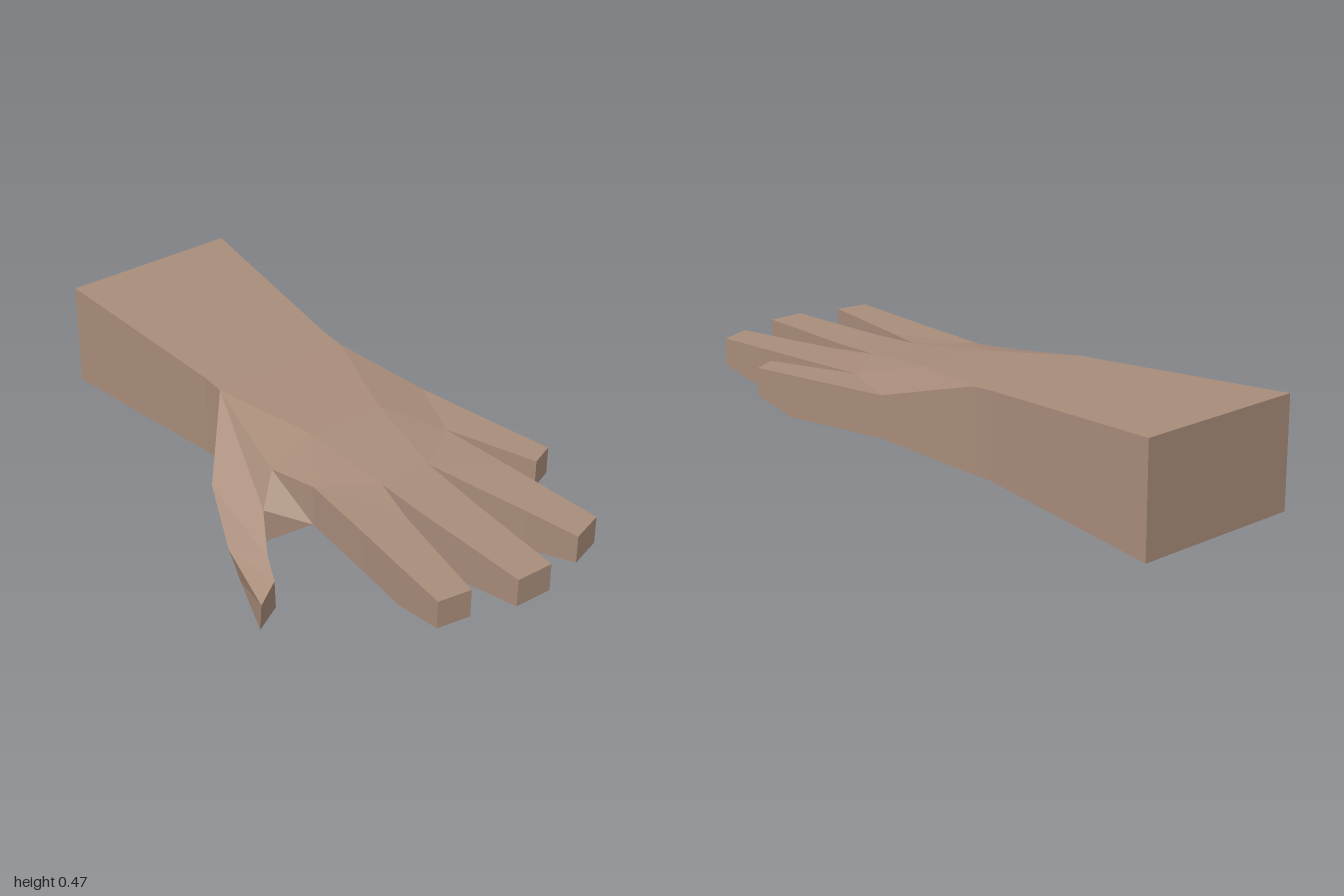
import * as THREE from 'three';

const skin = new THREE.MeshStandardMaterial({ color: 0xa88c7a, flatShading: true });

// Flat-shaded mesh from convex polygons, each a list of [x, y, z] corners
function polyMesh(name, polys) {
  const pos = [];
  for (const p of polys) {
    for (let i = 1; i < p.length - 1; i++) pos.push(...p[0], ...p[i], ...p[i + 1]);
  }
  const geo = new THREE.BufferGeometry();
  geo.setAttribute('position', new THREE.Float32BufferAttribute(pos, 3));
  geo.computeVertexNormals();
  const mesh = new THREE.Mesh(geo, skin);
  mesh.name = name;
  return mesh;
}

// Skin four-cornered sections running towards +x, with optional end caps
function loft(name, sections, capStart, capEnd) {
  const polys = [];
  for (let s = 0; s < sections.length - 1; s++) {
    const p = sections[s], q = sections[s + 1];
    for (let i = 0; i < 4; i++) {
      const j = (i + 1) % 4;
      polys.push([p[i], q[i], q[j], p[j]]);
    }
  }
  if (capStart) polys.push(sections[0]);
  if (capEnd) polys.push([...sections[sections.length - 1]].reverse());
  return polyMesh(name, polys);
}

// Section from its front (+z) and back plan points: [x, z] or [x, z, top]
const section = (a, b, top, bottom) => [
  [a[0], a[2] ?? top, a[1]], [b[0], b[2] ?? top, b[1]],
  [b[0], bottom, b[1]], [a[0], bottom, a[1]],
];

export function createModel() {
  const hand = new THREE.Group();
  hand.name = 'hand';

  // Forearm, tapering to the wrist
  const wrist = section([-0.23, 0.19], [-0.23, -0.285], 0.435, 0.155);
  hand.add(loft('forearm', [
    section([-1, 0.255], [-1, -0.345], 0.475, 0.11),
    section([-0.31, 0.19], [-0.31, -0.285], 0.44, 0.155),
    wrist,
  ], true, false));

  // Finger roots, from the index side to the little finger side
  const roots = [[0.29, 0.21], [0.41, 0.04, 0.371], [0.41, -0.14, 0.371], [0.29, -0.31], [0.06, -0.4]];
  const TOP = 0.365, BOTTOM = 0.225, TIP = 0.27;

  // Fingers: plan points of middle, knuckle and tip (front edge, back edge)
  const fingers = {
    indexFinger: [[[0.57, 0.23], [0.57, 0.08]], [[0.75, 0.245], [0.76, 0.115]], [[0.94, 0.26], [0.955, 0.15]]],
    middleFinger: [[[0.6, 0.032], [0.6, -0.13]], [[0.79, 0.023], [0.79, -0.12]], [[1, 0.015], [1, -0.11]]],
    ringFinger: [[[0.57, -0.18], [0.55, -0.337]], [[0.76, -0.222], [0.73, -0.353]], [[0.95, -0.26], [0.91, -0.37]]],
    littleFinger: [[[0.38, -0.344], [0.26, -0.44]], [[0.46, -0.373], [0.42, -0.472]], [[0.59, -0.42], [0.555, -0.5]]],
  };
  Object.entries(fingers).forEach(([name, [mid, knuckle, tip]], i) => {
    hand.add(loft(name, [
      section(roots[i], roots[i + 1], TOP, BOTTOM),
      section(...mid, TOP, BOTTOM),
      section(...knuckle, TOP, BOTTOM),
      section(...tip, TOP, TIP),
    ], false, true));
  });

  // Thumb: outer top, inner top, inner bottom, outer bottom
  const thumbRoot = [[-0.02, 0.26, 0.37], [0.18, 0.26, 0.317], [0.155, 0.12, 0.32], [-0.02, 0.12, 0.34]];
  hand.add(loft('thumb', [
    thumbRoot,
    [[0.2, 0.185, 0.46], [0.3, 0.19, 0.388], [0.29, 0.055, 0.39], [0.2, 0.045, 0.42]],
    [[0.42, 0.13, 0.497], [0.38, 0.16, 0.42], [0.35, 0.03, 0.395], [0.38, 0, 0.475]],
  ], false, true));

  // Palm, joining wrist, thumb and fingers
  const [w1, w2, w2b, w1b] = wrist;
  const [tOut, tIn, tInB, tOutB] = thumbRoot;
  const [a, c, d, e, q] = roots.map(([x, z, y]) => [x, y ?? TOP, z]);
  const [aB, cB, dB, eB, qB] = roots.map(([x, z]) => [x, BOTTOM, z]);
  const k = [0.14, TOP, 0.255];
  const m1 = [0.1, 0.405, 0.08], m2 = [0.1, 0.405, -0.19];
  hand.add(polyMesh('palm', [
    // back of the hand
    [w1, m1, m2, w2], [w1, k, m1], [k, a, m1], [a, c, m1],
    [m1, c, d, m2], [m2, d, e], [m2, e, q], [m2, q, w2],
    // underside
    [w1b, w2b, dB, cB], [w2b, qB, eB, dB], [w1b, cB, aB],
    // outer edge
    [w2, q, qB, w2b],
    // ball of the thumb and web
    [w1, tOut, tIn, k], [w1b, tOutB, tOut, w1], [w1b, aB, tInB, tOutB],
    [k, tIn, aB], [tIn, tInB, aB], [k, aB, a],
  ]));

  return hand;
}
